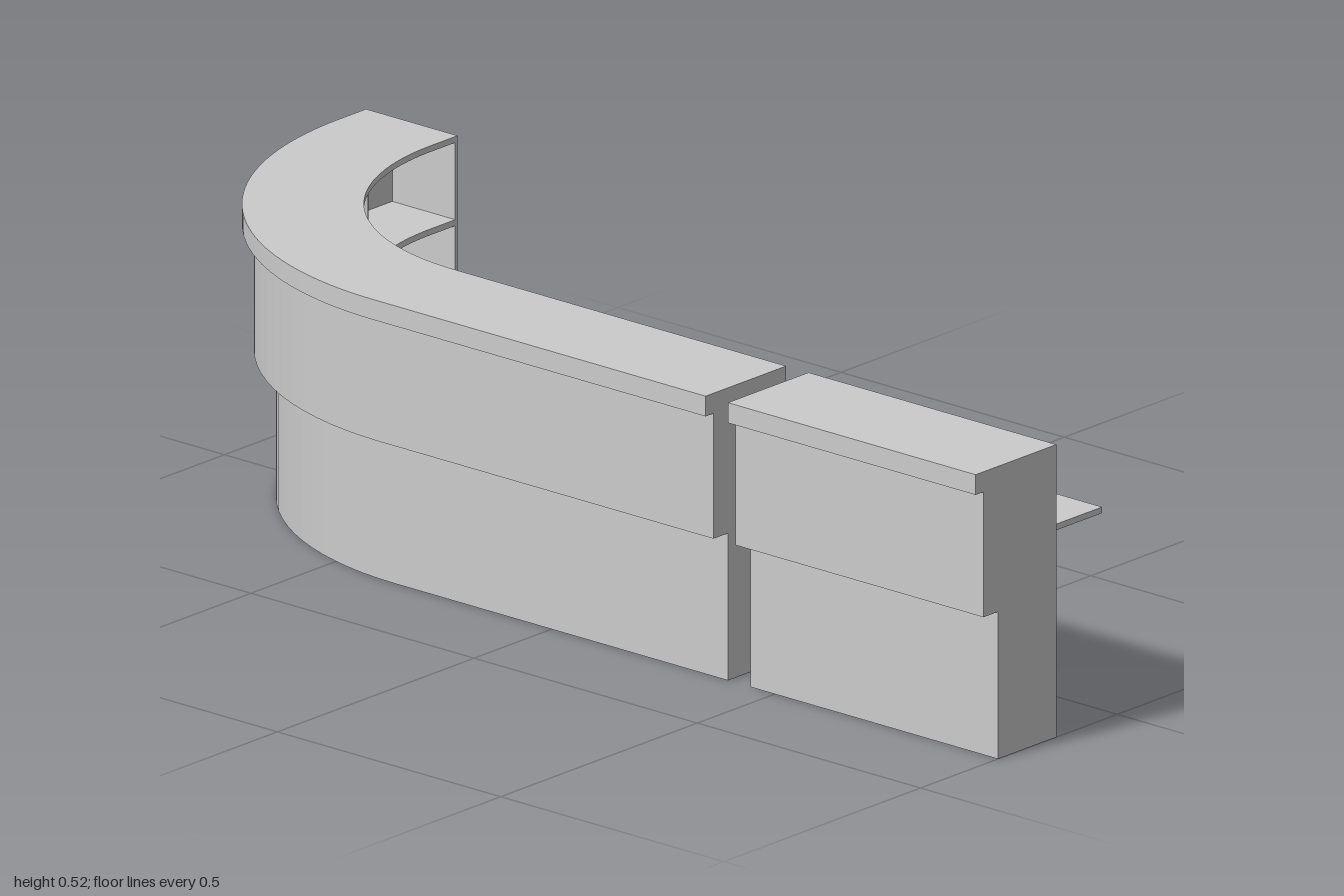
import * as THREE from 'three';

const material = new THREE.MeshStandardMaterial({ color: 0xcccccc, side: THREE.DoubleSide });

// Plan: straight run along z at x = -0.36, quarter bend, short run to x = 0.36
const CX = 0.29, CZ = -0.35, R = 0.65, EDGE = -0.36, END_X = 0.36;
const DEPTH = 0.205, PANEL = 0.006;

// Raise a plan shape (drawn in x, -z) from y0 to y1
function slab(name, shape, y0, y1, curveSegments = 12) {
  const geo = new THREE.ExtrudeGeometry(shape, { depth: y1 - y0, bevelEnabled: false, curveSegments });
  geo.rotateX(-Math.PI / 2).translate(0, y0, 0);
  const mesh = new THREE.Mesh(geo, material);
  mesh.name = name;
  return mesh;
}

// Band between two distances from the outer edge, following the bend
function bentBand(outer, inner, zStart, xEnd) {
  const s = new THREE.Shape();
  s.moveTo(EDGE + outer, -zStart);
  s.lineTo(EDGE + outer, -CZ);
  s.absarc(CX, -CZ, R - outer, Math.PI, Math.PI / 2, true);
  s.lineTo(xEnd, -CZ + R - outer);
  s.lineTo(xEnd, -CZ + R - inner);
  s.lineTo(CX, -CZ + R - inner);
  s.absarc(CX, -CZ, R - inner, Math.PI / 2, Math.PI, false);
  s.lineTo(EDGE + inner, -zStart);
  return s;
}

// Straight band between z0 and z1
function straightBand(outer, inner, z0, z1) {
  const s = new THREE.Shape();
  s.moveTo(EDGE + outer, -z0);
  s.lineTo(EDGE + inner, -z0);
  s.lineTo(EDGE + inner, -z1);
  s.lineTo(EDGE + outer, -z1);
  return s;
}

// Counter top, lip, cladding and wall share one section
function addShell(group, band, segments) {
  group.add(
    slab('counterTop', band(0, DEPTH, 0), 0.51, 0.521, segments * 2),
    slab('counterLip', band(0, 0.02, 0), 0.485, 0.51, segments * 2),
    slab('upperCladding', band(0.02, 0.057, 0.003), 0.262, 0.51, segments),
    slab('wall', band(0.057, 0.064, 0.003), 0, 0.51, segments),
  );
}

// Stepped upright panel; local x runs inward from the outer edge
function uprightPanel(name, lower = 0.057, upper = 0.02) {
  const s = new THREE.Shape();
  s.moveTo(lower, 0);
  s.lineTo(DEPTH, 0);
  s.lineTo(DEPTH, 0.51);
  s.lineTo(upper, 0.51);
  s.lineTo(upper, 0.262);
  s.lineTo(lower, 0.262);
  const geo = new THREE.ExtrudeGeometry(s, { depth: PANEL, bevelEnabled: false });
  const mesh = new THREE.Mesh(geo, material);
  mesh.name = name;
  return mesh;
}

function straightPanel(name, z) {
  const panel = uprightPanel(name);
  panel.position.set(EDGE, 0, z);
  return panel;
}

// Deep work surface that narrows to the counter's inner edge on the bend
function bentShelf(zStart, ribAngle) {
  const r = R - DEPTH, o = 0.062, front = -0.025;
  const s = new THREE.Shape();
  s.moveTo(EDGE + o, -zStart);
  s.lineTo(EDGE + o, -CZ);
  s.absarc(CX, -CZ, R - o, Math.PI, Math.PI / 2, true);
  s.lineTo(END_X - 0.004, -CZ + R - o);
  s.lineTo(END_X - 0.004, -CZ + r);
  s.lineTo(CX, -CZ + r);
  s.absarc(CX, -CZ, r, Math.PI / 2, Math.PI - ribAngle, false);
  s.quadraticCurveTo(front, 0.677, front, 0.6);
  s.lineTo(front, -zStart);
  return s;
}

export function createModel() {
  const model = new THREE.Group();
  model.name = 'receptionDesk';

  // Long curved desk
  const curved = new THREE.Group();
  curved.name = 'curvedDesk';
  const zEnd = 0.395, ribAngle = THREE.MathUtils.degToRad(59.2);
  addShell(curved, (o, i, inset) => bentBand(o, i, zEnd - inset, END_X - inset), 12);
  curved.add(slab('workShelf', bentShelf(0.387, ribAngle), 0.362, 0.373));
  curved.add(straightPanel('sidePanel', zEnd - PANEL));

  const backPanel = uprightPanel('backEndPanel');
  backPanel.rotation.y = -Math.PI / 2;
  backPanel.position.set(END_X, 0, CZ - R);
  curved.add(backPanel);

  // Radial support under the bend
  const rib = uprightPanel('supportRib', 0.06, 0.06);
  rib.rotation.y = -ribAngle;
  rib.position.set(CX - R * Math.cos(ribAngle), 0, CZ - R * Math.sin(ribAngle));
  curved.add(rib);

  // Short straight desk
  const straight = new THREE.Group();
  straight.name = 'straightDesk';
  const z0 = 0.445, z1 = 1;
  addShell(straight, (o, i, inset) => straightBand(o, i, z0 + inset, z1 - inset), 1);
  straight.add(
    slab('workShelf', straightBand(0.062, 0.335, 0.451, 0.988), 0.362, 0.373),
    straightPanel('sidePanel', z0),
    straightPanel('frontEndPanel', z1 - PANEL),
  );

  model.add(curved, straight);
  return model;
}
